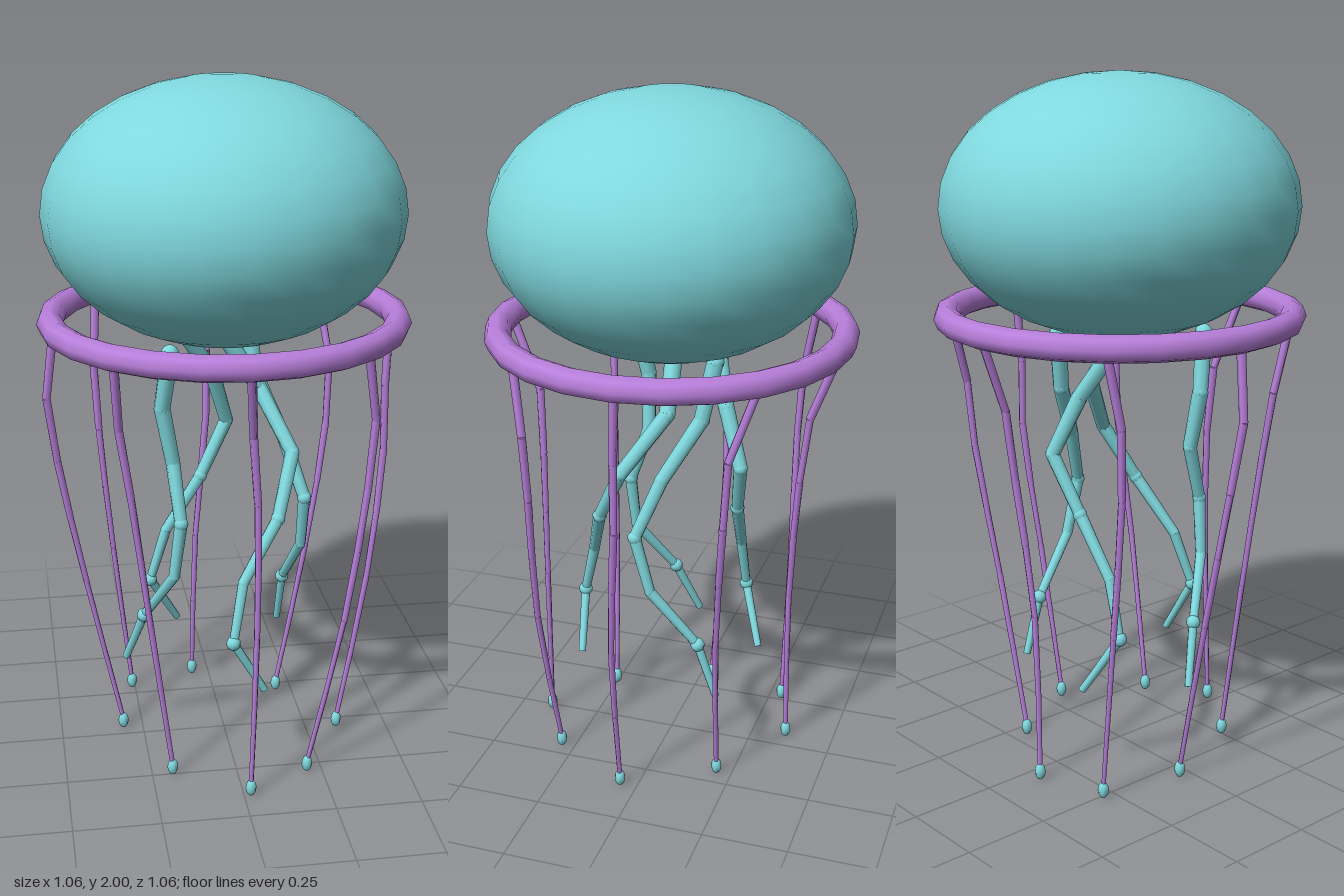
import * as THREE from 'three';

const teal = new THREE.MeshStandardMaterial({ color: 0x7fd8de });
const purple = new THREE.MeshStandardMaterial({ color: 0xb87fdb });
const UP = new THREE.Vector3(0, 1, 0);

function add(parent, name, geometry, material, position) {
  const mesh = new THREE.Mesh(geometry, material);
  mesh.name = name;
  if (position) mesh.position.copy(position);
  parent.add(mesh);
  return mesh;
}

// Chain of tapered cylinders through the points; radius(t) with t from 0 to 1
function limb(name, points, radius, sides, material) {
  const group = new THREE.Group();
  group.name = name;
  const n = points.length - 1;
  for (let i = 0; i < n; i++) {
    const a = points[i], b = points[i + 1];
    const dir = b.clone().sub(a);
    const geometry = new THREE.CylinderGeometry(radius((i + 1) / n), radius(i / n), dir.length(), sides);
    const mid = a.clone().add(b).multiplyScalar(0.5);
    add(group, 'segment', geometry, material, mid).quaternion.setFromUnitVectors(UP, dir.normalize());
  }
  return group;
}

// Outer tentacles: [x, z] at heights 1.1, 0.9, 0.5 and the tip, in order around the ring
const TENTACLE_Y = [1.1, 0.9, 0.5, 0.03];
const TENTACLES = [
  [[0.475, 0.01], [0.477, 0.01], [0.43, 0.04], [0.345, 0.05]],
  [[0.375, 0.31], [0.36, 0.305], [0.3, 0.315], [0.205, 0.29]],
  [[0.02, 0.4], [0.035, 0.39], [0.035, 0.39], [0.02, 0.395]],
  [[-0.33, 0.295], [-0.3, 0.285], [-0.25, 0.265], [-0.19, 0.25]],
  [[-0.51, -0.01], [-0.485, -0.03], [-0.41, -0.045], [-0.31, -0.04]],
  [[-0.355, -0.305], [-0.345, -0.295], [-0.31, -0.295], [-0.26, -0.29]],
  [[0.005, -0.41], [0, -0.385], [-0.04, -0.355], [-0.055, -0.355]],
  [[0.37, -0.275], [0.36, -0.26], [0.295, -0.225], [0.2, -0.205]],
];

// Inner arms: [x, z] at evenly spaced heights from the bell down
const ARMS = [
  [[-0.175, 0.165], [-0.195, 0.135], [-0.165, 0.125], [-0.15, 0.18], [-0.17, 0.17], [-0.25, 0.065], [-0.3, 0]],
  [[-0.11, -0.1], [-0.01, -0.16], [0.04, -0.22], [-0.045, -0.19], [-0.155, -0.175], [-0.205, -0.18], [-0.115, -0.245]],
  [[0, -0.01], [0.105, -0.02], [0.185, 0.095], [0.13, 0.18], [0.02, 0.24], [-0.015, 0.285], [0.08, 0.265]],
  [[0.09, -0.155], [0.115, -0.125], [0.185, -0.03], [0.235, 0.035], [0.235, -0.01], [0.205, -0.145], [0.2, -0.2]],
];

export function createModel() {
  const model = new THREE.Group();
  model.name = 'jellyfish';

  // Bell
  add(model, 'bell', new THREE.SphereGeometry(1, 24, 16), teal, new THREE.Vector3(0, 1.63, 0))
    .scale.set(0.51, 0.37, 0.51);

  // Rim ring
  const ring = new THREE.TorusGeometry(0.493, 0.038, 8, 24).rotateX(Math.PI / 2);
  add(model, 'rimRing', ring, purple, new THREE.Vector3(0, 1.322, 0));

  // Thin tentacles hanging from the ring, each with a bead at its tip
  TENTACLES.forEach((path, i) => {
    const angle = (i * Math.PI) / 4;
    const keys = [new THREE.Vector3(0.485 * Math.cos(angle), 1.3, 0.485 * Math.sin(angle))];
    path.forEach(([x, z], k) => keys.push(new THREE.Vector3(x, TENTACLE_Y[k], z)));
    const curve = new THREE.CatmullRomCurve3(keys);
    const points = [0, 0.25, 0.5, 0.625, 0.75, 0.875, 1].map((t) => curve.getPoint(t));
    const tentacle = limb('tentacle', points, (t) => 0.013 - 0.006 * t, 6, purple);
    const tip = keys[4].clone().setY(0.026);
    add(tentacle, 'tentacleTip', new THREE.SphereGeometry(0.016, 8, 6), teal, tip).scale.y = 1.6;
    model.add(tentacle);
  });

  // Thick crooked arms under the bell, with knuckles at the bends
  ARMS.forEach((path) => {
    const points = path.map(([x, z], k) => new THREE.Vector3(x, 1.27 - k * 0.167, z));
    const radius = (t) => 0.026 - 0.015 * t;
    const arm = limb('arm', points, radius, 8, teal);
    points.slice(0, -1).forEach((p, k) => {
      const r = k === 3 || k === 5 ? 0.021 : radius(k / 6);
      add(arm, 'knuckle', new THREE.SphereGeometry(r, 10, 8), teal, p);
    });
    model.add(arm);
  });

  return model;
}
